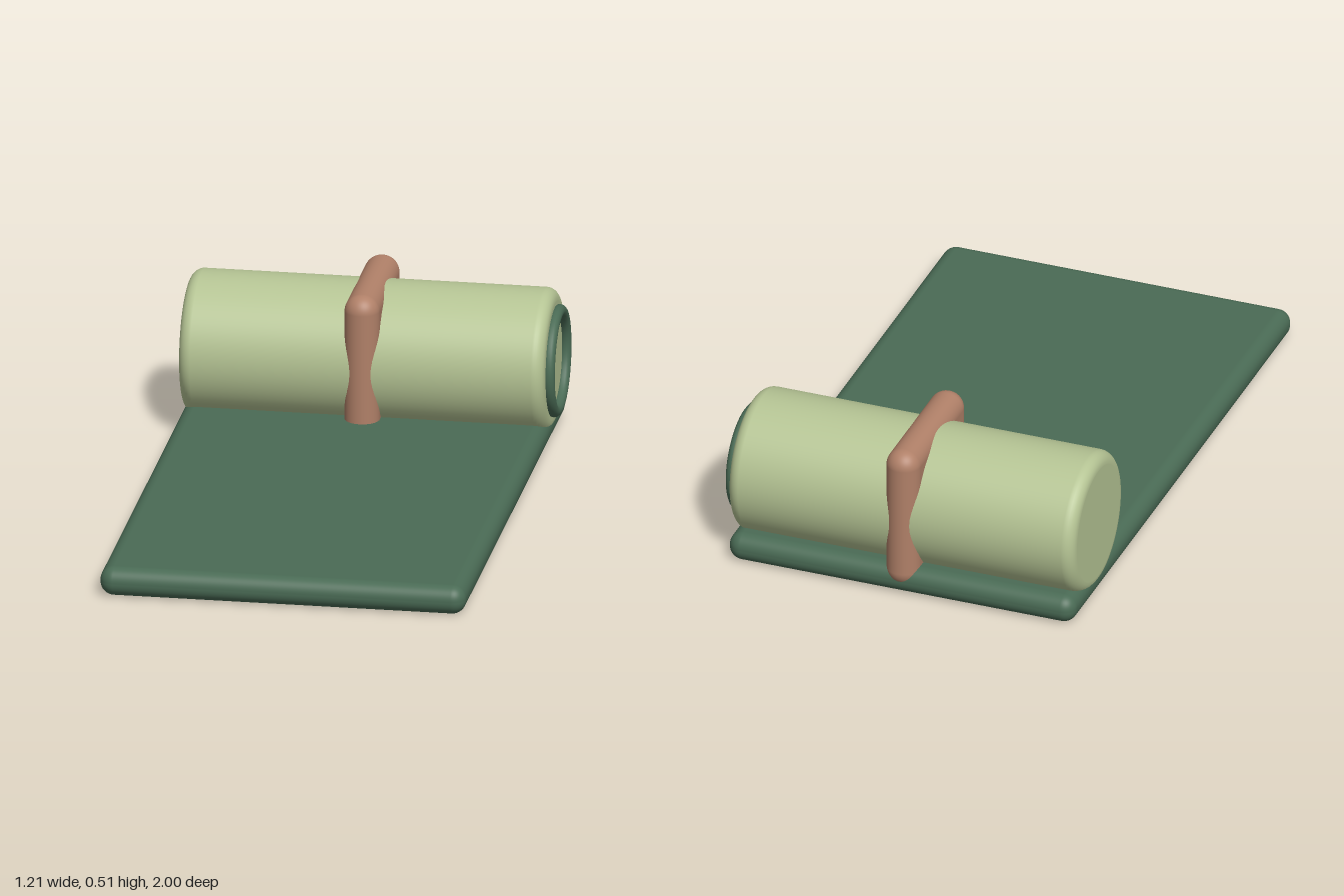
import * as THREE from 'three';
import { RoundedBoxGeometry } from 'three/addons/geometries/RoundedBoxGeometry.js';

const CX = -0.014, ROLL_Y = 0.26, ROLL_Z = -0.755;

function addMesh(group, name, geometry, color, x, y, z) {
  const mesh = new THREE.Mesh(geometry, new THREE.MeshStandardMaterial({ color }));
  mesh.name = name;
  mesh.position.set(x, y, z);
  group.add(mesh);
  return mesh;
}

// Solid cylinder along x with rounded rims
function rollGeometry(radius, length, bevel) {
  const h = length / 2, steps = 8;
  const pts = [];
  for (let i = 0; i <= steps; i++) {
    const a = (i / steps) * Math.PI / 2;
    pts.push(new THREE.Vector2(radius - bevel + bevel * Math.sin(a), -h + bevel - bevel * Math.cos(a)));
  }
  const upper = pts.map(p => new THREE.Vector2(p.x, -p.y)).reverse();
  // Short rings beside the axis and the rims keep the end faces flat
  const inner = radius - bevel - 0.002;
  const profile = [
    new THREE.Vector2(0, -h), new THREE.Vector2(inner, -h), ...pts,
    ...upper, new THREE.Vector2(inner, h), new THREE.Vector2(0, h),
  ];
  return new THREE.LatheGeometry(profile, 64).rotateZ(-Math.PI / 2);
}

export function createModel() {
  const group = new THREE.Group();
  group.name = 'sleepingMat';
  const green = 0x4a6b55, olive = 0xb5c494, tan = 0xb08068;

  // Unrolled mat lying on the ground
  addMesh(group, 'mat', new RoundedBoxGeometry(1.182, 0.095, 1.99, 6, 0.045), green, CX, 0.0475, 0.005);

  // Rolled-up part at the back
  addMesh(group, 'roll', rollGeometry(0.234, 1.182, 0.04), olive, CX, ROLL_Y, ROLL_Z);

  // Ring on the left end of the roll
  const ring = new THREE.TorusGeometry(0.161, 0.02, 16, 64).rotateY(Math.PI / 2);
  addMesh(group, 'rollEndRing', ring, green, 0.584, ROLL_Y, ROLL_Z);

  // Strap around the roll
  addMesh(group, 'strap', new RoundedBoxGeometry(0.113, 0.49, 0.49, 8, 0.056), tan, CX, 0.27, ROLL_Z);

  return group;
}
